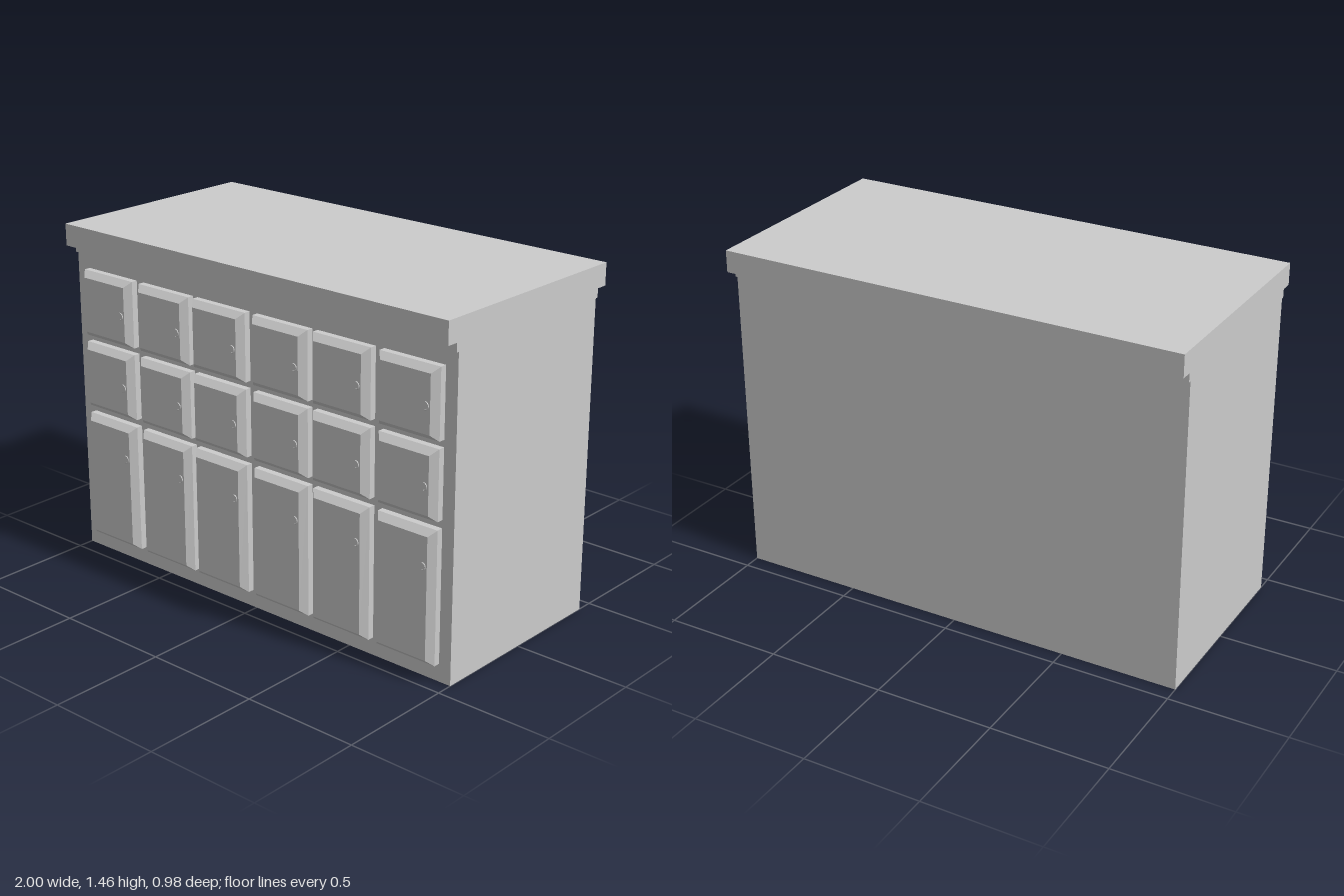
import * as THREE from 'three';

const material = new THREE.MeshStandardMaterial({ color: 0xcccccc, flatShading: true });

function add(parent, name, geometry, x, y, z) {
  const mesh = new THREE.Mesh(geometry, material);
  mesh.name = name;
  mesh.position.set(x, y, z);
  parent.add(mesh);
  return mesh;
}

// Panel with a straight back half and a front half that slopes inward
function bevelledPanel(w, h, d, inset) {
  const geometry = new THREE.BoxGeometry(w, h, d, 1, 1, 2);
  const p = geometry.attributes.position;
  for (let i = 0; i < p.count; i++) {
    if (p.getZ(i) > d / 4) {
      p.setX(i, p.getX(i) - Math.sign(p.getX(i)) * inset);
      p.setY(i, p.getY(i) - Math.sign(p.getY(i)) * inset);
    }
  }
  const flat = geometry.toNonIndexed();
  flat.computeVertexNormals();
  return flat;
}

export function createModel() {
  const group = new THREE.Group();
  group.name = 'cabinet';

  // Carcass, moulding and overhanging top, flush at the ends
  const slabs = [
    ['body', 0, 1.325, 0.86],
    ['moulding', 1.325, 1.362, 0.884],
    ['countertop', 1.362, 1.455, 0.984],
  ];
  for (const [name, y0, y1, depth] of slabs) {
    add(group, name, new THREE.BoxGeometry(2, y1 - y0, depth), 0, (y0 + y1) / 2, 0);
  }

  // Six columns of two drawers above a tall door, each with a small pull
  const columns = [-0.79, -0.466, -0.157, 0.168, 0.479, 0.803];
  const rows = [
    ['door', 0.075, 0.632, 0.485],
    ['lowerDrawer', 0.665, 0.951, 0.803],
    ['upperDrawer', 0.98, 1.265, 1.115],
  ];
  const width = 0.284, depth = 0.055, front = 0.43;
  const pull = new THREE.TorusGeometry(0.015, 0.0025, 6, 10, Math.PI);
  for (const [name, y0, y1, pullY] of rows) {
    const panel = bevelledPanel(width, y1 - y0, depth, 0.025);
    for (const x of columns) {
      add(group, name, panel, x, (y0 + y1) / 2, front + depth / 2);
      const handle = add(group, 'pull', pull, x + 0.095, pullY, front + depth + 0.002);
      handle.rotation.z = -Math.PI / 2;
    }
  }
  return group;
}
